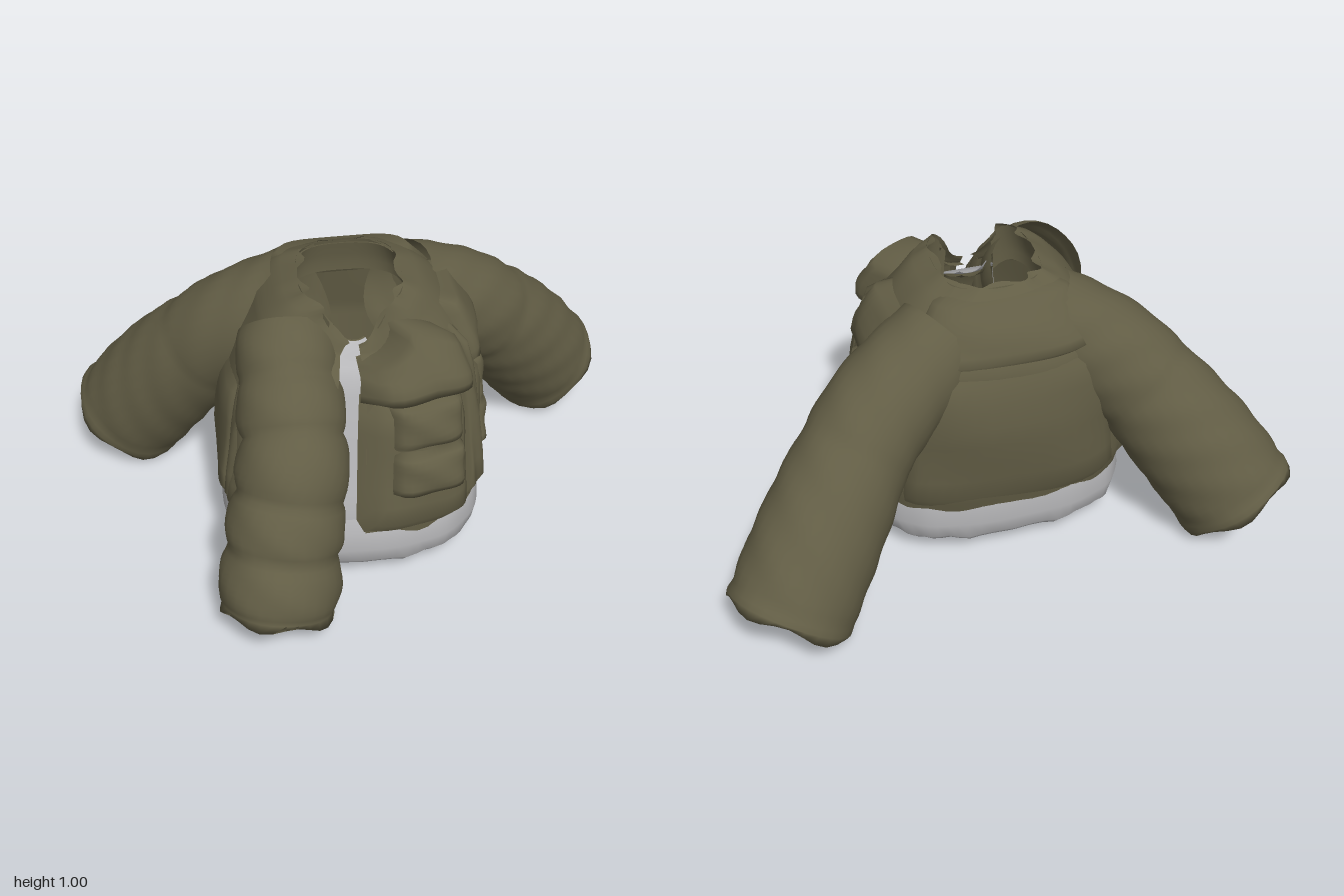
import * as THREE from 'three';

const olive = new THREE.MeshStandardMaterial({ color: 0x625d45, side: THREE.DoubleSide });
olive.name = 'olive quilted cloth';
const grey = new THREE.MeshStandardMaterial({ color: 0xb6b6b8, side: THREE.DoubleSide });
grey.name = 'pale grey lining';

const V = (x, y, z) => new THREE.Vector3(x, y, z);
const spow = (v, p) => Math.sign(v) * Math.abs(v) ** p;

// Smooth surface from a rule fn(u, v); wrap joins the u ends
function surface(name, mat, nu, nv, fn, wrap = false) {
  const pos = [], idx = [], cols = wrap ? nu : nu + 1;
  for (let j = 0; j <= nv; j++)
    for (let i = 0; i < cols; i++) pos.push(...fn(i / nu, j / nv).toArray());
  for (let j = 0; j < nv; j++)
    for (let i = 0; i < nu; i++) {
      const a = j * cols + i, b = j * cols + (i + 1) % cols;
      idx.push(a, b, b + cols, a, b + cols, a + cols);
    }
  const g = new THREE.BufferGeometry();
  g.setAttribute('position', new THREE.Float32BufferAttribute(pos, 3));
  g.setIndex(idx);
  g.computeVertexNormals();
  const mesh = new THREE.Mesh(g, mat);
  mesh.name = name;
  return mesh;
}

// Torso sections: height, centre x, half width, centre z, half depth
const SECTIONS = [
  [0.06, -0.03, 0.44, 0.03, 0.39],
  [0.22, -0.03, 0.45, 0.03, 0.4],
  [0.3, -0.03, 0.46, 0.02, 0.405],
  [0.6, -0.02, 0.43, -0.02, 0.385],
  [0.8, -0.01, 0.38, -0.03, 0.345],
  [0.92, -0.02, 0.31, -0.04, 0.27],
  [0.99, -0.02, 0.24, -0.02, 0.235],
  [1.02, -0.02, 0.16, 0, 0.2],
];

// Point on the torso at angle t (0 = front, toward +x) and height y, pushed out by h
function torso(t, y, h = 0) {
  let k = 0;
  while (k < SECTIONS.length - 2 && y > SECTIONS[k + 1][0]) k++;
  const A = SECTIONS[k], B = SECTIONS[k + 1];
  const f = THREE.MathUtils.clamp((y - A[0]) / (B[0] - A[0]), 0, 1);
  const [, cx, rx, cz, rz] = A.map((a, i) => a + (B[i] - a) * f);
  const c = Math.cos(t);
  const dip = 0.13 * Math.max(0, c) ** 10 * Math.max(0, (y - 0.8) / 0.2);
  const rise = h * Math.max(0, (y - 0.8) / 0.25) * 0.5;
  return V(cx + (rx + h) * spow(Math.sin(t), 0.75), y - dip + rise,
    cz + (rz + h) * spow(c, c < 0 ? 0.55 : 0.75));
}

// Stuffed panel lying on the torso, stitched across into puffs; roof slopes its top edge
function pad(name, t0, t1, y0, y1, h, puffs = 1, roof = 0) {
  return surface(name, olive, 16, 8 * puffs, (u, v) => {
    const w = (v * puffs) % 1, edge = v === 0 || v === 1 || u === 0 || u === 1;
    const seam = 1 - Math.abs(2 * w - 1) ** 5;
    const side = 1 - Math.abs(2 * u - 1) ** 6;
    const crease = 0.006 * Math.sin(9 * u + 7 * v * puffs);
    const lift = edge ? -0.015 : side * (h * (0.5 + 0.5 * seam) + crease);
    const top = y1 - roof * Math.abs(2 * u - 0.9);
    return torso(t0 + (t1 - t0) * u, y0 + (top - y0) * v, lift);
  });
}

// Padded sleeve along a path, with a shallow hollow cuff
function sleeve(name, points, radii, puffs, depth) {
  const curve = new THREE.CatmullRomCurve3(points.map(p => V(...p)));
  const N = 48, tuck = 5;
  return surface(name, olive, 28, N + tuck, (u, v) => {
    const row = Math.round(v * (N + tuck));
    const inner = Math.max(0, row - N) / tuck;
    const s = Math.min(1, row / N) - inner * 0.07;
    const c = curve.getPointAt(s), T = curve.getTangentAt(s);
    const side = V(0, 1, 0).cross(T).normalize();
    const up = T.clone().cross(side);
    const a = u * Math.PI * 2;
    const q = THREE.MathUtils.lerp(radii[0], radii[1], s);
    const puff = 1 - depth + depth * Math.sqrt(Math.abs(Math.sin(Math.PI * puffs * s + 0.35)));
    const fold = 1 + 0.025 * Math.sin(3 * a + 17 * s) * Math.sin(23 * s + 2 * a);
    let r = q * puff * fold;
    if (inner > 0) r *= inner === 1 ? 0.02 : 0.88 - 0.3 * inner;
    else if (row === N) r *= 0.96;
    const rag = row === N ? 0.012 * Math.sin(5 * a) : 0;
    return c.addScaledVector(side, Math.cos(a) * r)
      .addScaledVector(up, Math.sin(a) * r * 1.04).addScaledVector(T, rag);
  }, true);
}

export function createModel() {
  const g = new THREE.Group();
  g.name = 'puffyJacket';
  const TAU = Math.PI * 2;

  // Main shell, open down the front and at the neck
  g.add(surface('bodyShell', olive, 72, 32, (u, v) => {
    const t0 = 0.01, t1 = TAU - 0.22 * (1 - 0.6 * v);
    const t = t0 + (t1 - t0) * u;
    const p = torso(t, 0.22 + 0.8 * v, 0.005 * Math.sin(5 * t) * Math.sin(v * 9));
    if (v === 1) p.multiply(V(1 + 0.09 * Math.sin(11 * t), 1, 1 + 0.07 * Math.cos(9 * t)));
    return p;
  }));

  // Inside of the collar
  g.add(surface('collarLining', olive, 40, 4, (u, v) => {
    const t = 0.3 + (TAU - 0.7) * u;
    return torso(t, 1.015 - 0.03 * v, 0).add(V(0, -0.1 * v, 0))
      .multiply(V(1 - 0.2 * v, 1, 1 - 0.15 * v));
  }));

  // Grey hem band, folded under, with a slightly ragged lower edge
  const band = [[0.29, -0.015], [0.24, 0], [0.17, 0.012], [0.11, 0.004], [0.08, -0.02],
    [0.11, -0.045], [0.17, -0.045]];
  g.add(surface('hemBand', grey, 72, band.length - 1, (u, v) => {
    const k = Math.round(v * (band.length - 1)), t = u * TAU;
    const p = torso(t, band[k][0], band[k][1] + 0.002 * Math.sin(13 * t));
    if (k > 2 && k < 6) p.y += 0.009 * Math.sin(17 * t) * Math.sin(5 * t);
    return p;
  }, true));

  // Grey lining seen through the front opening, with olive cloth behind it
  for (const [name, mat, inset] of [['frontLining', grey, 0.03], ['liningBacking', olive, 0.045]])
    g.add(surface(name, mat, 10, 14, (u, v) =>
      torso(-0.28 + 0.42 * u, 0.2 + 0.8 * v, -inset - 0.03 * v)));

  // Front quilted panels
  g.add(pad('frontPanel', -0.01, 0.87, 0.22, 0.75, 0.035));
  g.add(pad('frontPocket', 0.1, 0.74, 0.39, 0.74, 0.075, 2));
  g.add(pad('frontShoulderPad', -0.005, 0.95, 0.72, 1.01, 0.09, 1, 0.11));
  g.add(pad('frontPanelUnderSleeve', -1.2, -0.24, 0.22, 0.8, 0.03));

  // Side quilted panels, with the pocket on one side only
  for (const s of [1, -1]) {
    const n = s > 0 ? 'left' : 'right';
    g.add(pad(n + 'FlankStrip', s * 0.88, s * 1.2, 0.23, 0.9, 0.025));
    g.add(pad(n + 'SidePanel', s * 1.2, s * 2.15, 0.22, 0.72, 0.015));
  }
  g.add(pad('sidePocket', 1.38, 1.84, 0.33, 0.7, 0.035, 2));
  g.add(pad('sideShoulderPad', 1.2, 1.95, 0.7, 0.94, 0.045));

  // Back panel and yoke
  g.add(pad('backPanel', 2.2, TAU - 2.2, 0.22, 0.84, 0.012));
  g.add(pad('backYoke', 2, TAU - 2, 0.8, 1.01, 0.02));

  // Two swept-back sleeves and one hanging in front
  g.add(sleeve('leftSleeve', [[0.17, 0.83, -0.17], [0.43, 0.655, -0.3],
    [0.665, 0.38, -0.48], [0.82, 0.15, -0.6]], [0.17, 0.22], 2, 0.06));
  g.add(sleeve('rightSleeve', [[-0.17, 0.85, -0.15], [-0.43, 0.66, -0.23],
    [-0.665, 0.38, -0.37], [-0.815, 0.15, -0.465]], [0.17, 0.22], 2, 0.06));
  g.add(sleeve('frontSleeve', [[-0.24, 0.86, 0.08], [-0.245, 0.76, 0.2], [-0.25, 0.56, 0.4],
    [-0.3, 0.32, 0.525], [-0.335, 0.105, 0.615]], [0.17, 0.21], 5, 0.14));
  return g;
}
